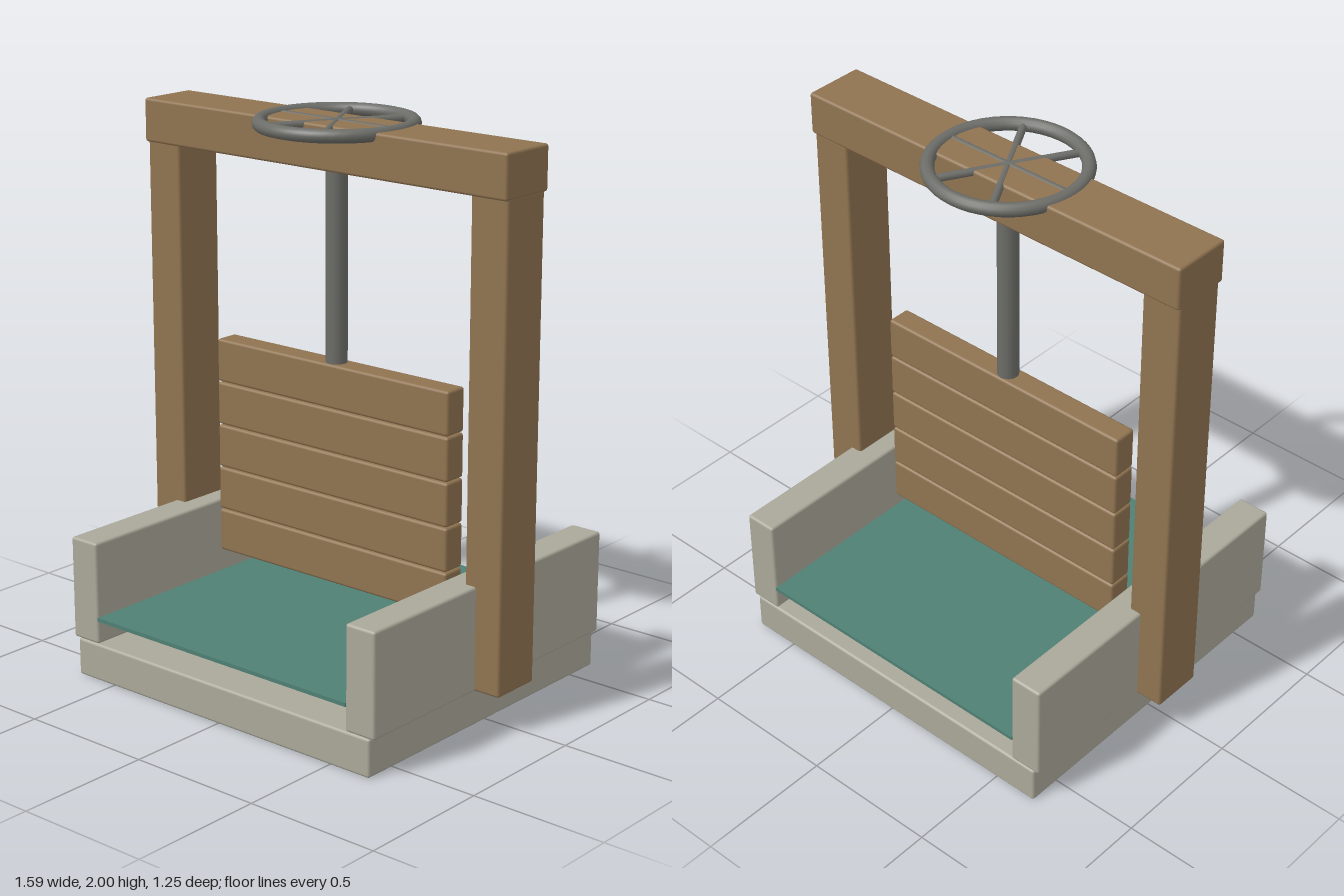
import * as THREE from 'three';
import { RoundedBoxGeometry } from 'three/addons/geometries/RoundedBoxGeometry.js';

const wood = new THREE.MeshStandardMaterial({ color: 0x8f7350 });
const stone = new THREE.MeshStandardMaterial({ color: 0xaaa899 });
const iron = new THREE.MeshStandardMaterial({ color: 0x6c6c68 });
const water = new THREE.MeshStandardMaterial({ color: 0x4f8074 });

export function createModel() {
  const model = new THREE.Group();
  model.name = 'sluiceGate';

  const add = (parent, name, geometry, material, x, y, z = 0) => {
    const mesh = new THREE.Mesh(geometry, material);
    mesh.name = name;
    mesh.position.set(x, y, z);
    parent.add(mesh);
    return mesh;
  };
  // Softly bevelled block, placed by its bottom and top heights
  const block = (name, material, x, bottom, top, width, depth) =>
    add(model, name, new RoundedBoxGeometry(width, top - bottom, depth, 2, 0.01), material, x, (bottom + top) / 2);

  // Stone channel
  block('base', stone, 0, 0, 0.138, 1.34, 1.25);
  for (const [side, s] of [['left', 1], ['right', -1]]) {
    block(side + 'Wall', stone, s * 0.63, 0.138, 0.513, 0.122, 1.25);
    block(side + 'Post', wood, s * 0.718, 0.14, 1.84, 0.148, 0.196);
  }
  add(model, 'waterSurface', new THREE.BoxGeometry(1.14, 0.014, 1.25), water, 0, 0.231);

  // Cross beam and plank gate
  block('crossBeam', wood, 0, 1.83, 1.986, 1.59, 0.224);
  for (let i = 0; i < 5; i++) {
    const bottom = 0.346 + i * 0.16;
    block('gatePlank' + (i + 1), wood, 0, bottom, bottom + 0.157, 1.044, 0.09);
  }

  // Lifting rod
  add(model, 'liftingRod', new THREE.CylinderGeometry(0.038, 0.038, 0.75, 16), iron, 0, 1.5);

  // Handwheel with three bars making six spokes
  const wheel = new THREE.Group();
  wheel.name = 'handwheel';
  wheel.position.y = 1.976;
  model.add(wheel);
  add(wheel, 'rim', new THREE.TorusGeometry(0.262, 0.024, 12, 48), iron, 0, 0).rotation.x = Math.PI / 2;
  for (let i = 0; i < 3; i++) {
    const spoke = add(wheel, 'spokeBar' + (i + 1), new THREE.CylinderGeometry(0.014, 0.014, 0.5, 10), iron, 0, 0);
    spoke.rotation.set(0, i * Math.PI / 3, Math.PI / 2);
  }

  return model;
}
